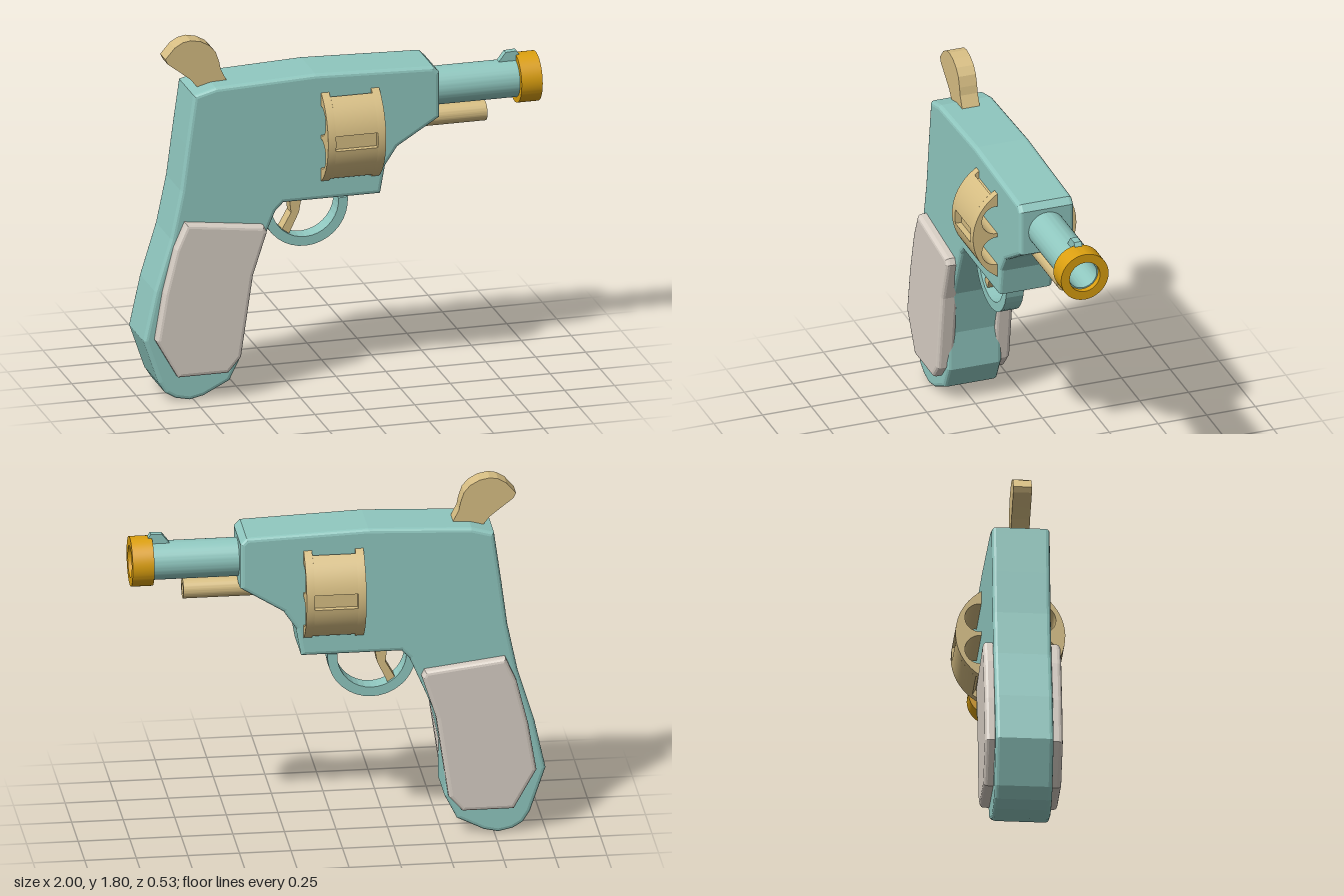
import * as THREE from 'three';
import { toCreasedNormals } from 'three/addons/utils/BufferGeometryUtils.js';

const teal = new THREE.MeshStandardMaterial({ name: 'teal', color: 0x90c8c0 });
const tan = new THREE.MeshStandardMaterial({ name: 'tan', color: 0xd8bf84 });
const ivory = new THREE.MeshStandardMaterial({ name: 'ivory', color: 0xd8cfc5 });
const gold = new THREE.MeshStandardMaterial({ name: 'gold', color: 0xdca010 });

const toShape = (pts) => new THREE.Shape(pts.map(([x, y]) => new THREE.Vector2(x, y)));

// Flat part with a side outline, spanning z0..z1, with optional rounded edges
function plate(name, material, outline, z0, z1, bevel = 0) {
  const geo = new THREE.ExtrudeGeometry(toShape(outline), {
    depth: z1 - z0 - 2 * bevel, bevelEnabled: bevel > 0, bevelSize: bevel,
    bevelThickness: bevel, bevelOffset: -bevel, bevelSegments: 3,
  });
  geo.translate(0, 0, z0 + bevel);
  const mesh = new THREE.Mesh(geo, material);
  mesh.name = name;
  return mesh;
}

// Extrudes a cross-section along x, from x0 to x1, at height y
function alongX(name, material, shape, x0, x1, y) {
  const geo = new THREE.ExtrudeGeometry(shape, { depth: x1 - x0, bevelEnabled: false, curveSegments: 40 });
  geo.rotateY(Math.PI / 2);
  geo.translate(x0, y, 0);
  const mesh = new THREE.Mesh(toCreasedNormals(geo, 0.4), material);
  mesh.name = name;
  return mesh;
}

const circlePath = (r, x = 0, y = 0) => new THREE.Path().absarc(x, y, r, 0, Math.PI * 2, true);

function ringShape(outer, inner) {
  const s = new THREE.Shape().absarc(0, 0, outer, 0, Math.PI * 2, false);
  s.holes.push(circlePath(inner));
  return s;
}

// Drum section with six chambers; the fluted one has a notch between each pair
function drumShape(fluted) {
  const R = 0.265, floor = 0.235, half = Math.asin(0.0375 / R), step = Math.PI / 3;
  const pts = [];
  for (let i = 0; i < 6; i++) {
    const a = i * step;
    if (fluted) {
      const f = Math.asin(0.0375 / floor);
      pts.push([floor * Math.cos(a - f), floor * Math.sin(a - f)]);
      pts.push([floor * Math.cos(a + f), floor * Math.sin(a + f)]);
    }
    const from = fluted ? a + half : a - half;
    const to = a + step - half;
    const n = 10;
    for (let k = 0; k < (fluted ? n + 1 : n); k++) {
      const t = from + (to - from) * k / n;
      pts.push([R * Math.cos(t), R * Math.sin(t)]);
    }
  }
  const s = toShape(pts);
  for (let i = 0; i < 6; i++) {
    const a = (i + 0.5) * step;
    s.holes.push(circlePath(0.074, 0.168 * Math.cos(a), 0.168 * Math.sin(a)));
  }
  return s;
}

export function createModel() {
  const model = new THREE.Group();
  model.name = 'toyRevolver';

  // Frame and handle in one piece
  model.add(plate('frame', teal, [
    [-0.75, 1.55], [-0.785, 1.3], [-0.815, 1.07], [-0.865, 0.83], [-0.945, 0.57], [-1, 0.32],
    [-0.925, 0.1], [-0.89, 0.045], [-0.84, 0.015], [-0.77, 0], [-0.7, 0.015], [-0.57, 0.08],
    [-0.51, 0.2], [-0.51, 0.4], [-0.46, 0.64], [-0.34, 0.92], [-0.3, 0.96], [0.185, 0.96],
    [0.21, 1.1], [0.27, 1.19], [0.48, 1.32], [0.48, 1.55], [0.45, 1.58], [-0.14, 1.6], [-0.64, 1.58],
  ], -0.14, 0.14, 0.02));

  // Handle panels on both sides
  const panel = [
    [-0.8, 0.915], [-0.41, 0.866], [-0.395, 0.835], [-0.465, 0.62], [-0.525, 0.21], [-0.59, 0.135],
    [-0.84, 0.135], [-0.95, 0.33], [-0.91, 0.57], [-0.855, 0.79],
  ];
  model.add(plate('gripPanelLeft', ivory, panel, 0.1, 0.188, 0.02));
  model.add(plate('gripPanelRight', ivory, panel, -0.188, -0.1, 0.02));

  // Hammer
  model.add(plate('hammer', tan, [
    [-0.7, 1.55], [-0.74, 1.6], [-0.79, 1.64], [-0.855, 1.69], [-0.867, 1.715], [-0.82, 1.77],
    [-0.78, 1.793], [-0.74, 1.8], [-0.69, 1.79], [-0.645, 1.765], [-0.615, 1.73], [-0.598, 1.68],
    [-0.59, 1.64], [-0.55, 1.56],
  ], -0.045, 0.045));

  // Trigger and its guard
  model.add(plate('trigger', tan, [
    [-0.25, 1], [-0.235, 0.87], [-0.28, 0.79], [-0.245, 0.765], [-0.195, 0.87], [-0.185, 0.93], [-0.185, 1],
  ], -0.035, 0.035));
  const guard = [];
  const n = 18;
  for (let i = 0; i <= 2 * n + 1; i++) {
    const outer = i <= n;
    const a = 0.07 - (Math.PI + 0.1) * (outer ? i : 2 * n + 1 - i) / n;
    const r = outer ? 0.215 : 0.168;
    guard.push([-0.168 + r * Math.cos(a), 0.913 + r * Math.sin(a)]);
  }
  model.add(plate('triggerGuard', teal, guard, -0.045, 0.045));

  // Drum: plain rims around a fluted middle
  const drum = new THREE.Group();
  drum.name = 'drum';
  drum.add(alongX('drumRearRim', tan, drumShape(false), -0.115, -0.075, 1.28));
  drum.add(alongX('drumMiddle', tan, drumShape(true), -0.075, 0.135, 1.28));
  drum.add(alongX('drumFrontRim', tan, drumShape(false), 0.135, 0.175, 1.28));
  model.add(drum);

  // Barrel, muzzle ring, sight and the rod below
  model.add(alongX('barrel', teal, ringShape(0.094, 0.072), 0.46, 0.97, 1.437));
  model.add(alongX('muzzleRing', gold, ringShape(0.122, 0.078), 0.895, 1, 1.437));
  model.add(plate('frontSight', teal, [
    [0.81, 1.51], [0.81, 1.53], [0.845, 1.575], [0.9, 1.578], [0.915, 1.555], [0.915, 1.51],
  ], -0.018, 0.018));
  model.add(alongX('ejectorRod', tan, ringShape(0.049, 0.026), 0.25, 0.745, 1.285));

  return model;
}
